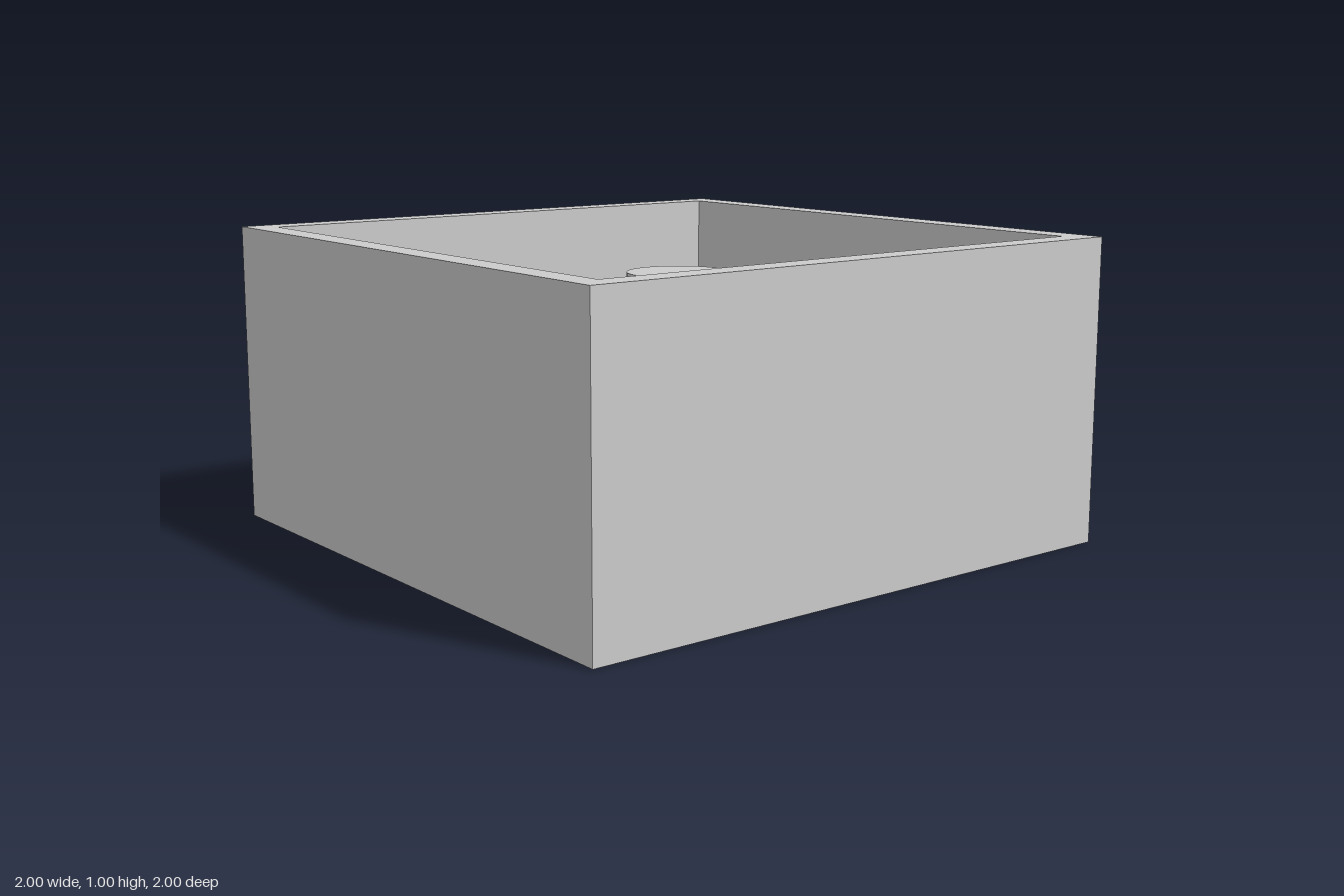
import * as THREE from 'three';

const OUTER = 1, INNER = 0.912, HEIGHT = 1, FLOOR = 0.09;
const POST = { x: -0.172, z: 0.316, radius: 0.16, top: 0.91 };

// Square outline with the given half width
function square(PathType, h) {
  return new PathType([
    new THREE.Vector2(-h, -h), new THREE.Vector2(h, -h),
    new THREE.Vector2(h, h), new THREE.Vector2(-h, h),
  ]);
}

export function createModel() {
  const group = new THREE.Group();
  group.name = 'openBoxWithPost';
  const material = new THREE.MeshStandardMaterial({ color: 0xcccccc });

  function add(name, geometry, x, y, z) {
    const mesh = new THREE.Mesh(geometry, material);
    mesh.name = name;
    mesh.position.set(x, y, z);
    group.add(mesh);
  }

  // Continuous wall ring, full height of the box
  const ring = square(THREE.Shape, OUTER);
  ring.holes.push(square(THREE.Path, INNER));
  const walls = new THREE.ExtrudeGeometry(ring, { depth: HEIGHT, bevelEnabled: false });
  walls.rotateX(-Math.PI / 2);
  add('walls', walls, 0, 0, 0);

  // Floor slab fitted inside the walls
  add('floor', new THREE.BoxGeometry(2 * INNER, FLOOR, 2 * INNER), 0, FLOOR / 2, 0);

  // Round post standing on the floor, just below the rim
  const postHeight = POST.top - FLOOR;
  add('post', new THREE.CylinderGeometry(POST.radius, POST.radius, postHeight, 64),
    POST.x, FLOOR + postHeight / 2, POST.z);

  return group;
}
